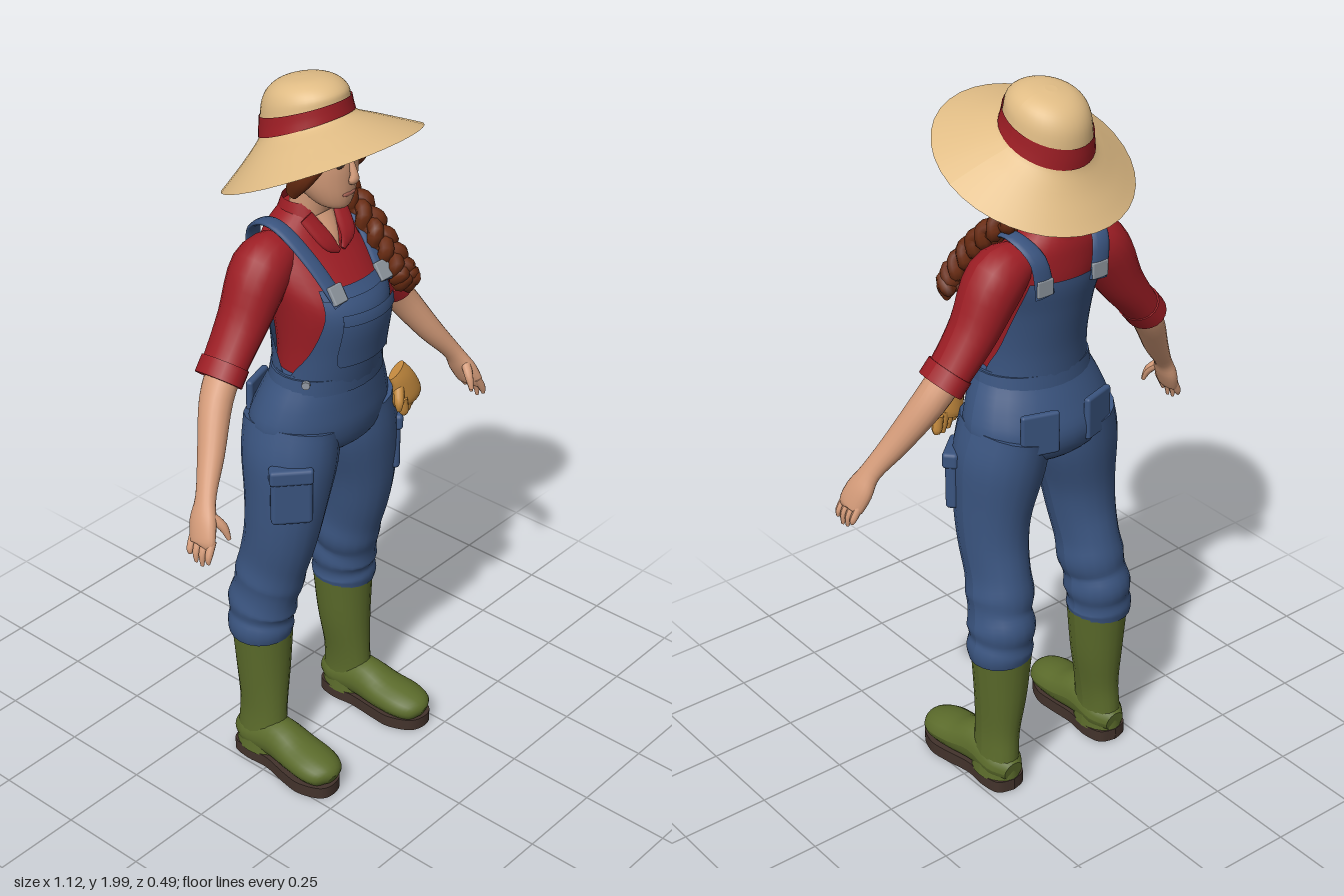
import * as THREE from 'three';
import { RoundedBoxGeometry } from 'three/addons/geometries/RoundedBoxGeometry.js';

const mat = (name, color) => {
  const m = new THREE.MeshStandardMaterial({ color, side: THREE.DoubleSide });
  m.name = name;
  return m;
};

export function createModel() {
  const model = new THREE.Group();
  model.name = 'farmer';
  const straw = mat('straw', 0xe0bc85), red = mat('red cloth', 0x9c1d24), denim = mat('denim', 0x3a547f);
  const green = mat('rubber green', 0x5b6b2b), soleMat = mat('dark sole', 0x43332c), skin = mat('skin', 0xd59c7a);
  const hair = mat('auburn hair', 0x6a2c12), tan = mat('tan leather', 0xc48a3e), metal = mat('metal', 0x9199a2);
  const lip = mat('lip', 0xb0695a);

  const add = (name, geometry, material, x = 0, y = 0, z = 0) => {
    const m = new THREE.Mesh(geometry, material);
    m.name = name;
    m.position.set(x, y, z);
    model.add(m);
    return m;
  };

  // Smoothly subdivide rows of numbers
  const dense = (rows, n = 4) => {
    const out = [];
    const row = i => rows[Math.max(0, Math.min(rows.length - 1, i))];
    for (let i = 0; i < rows.length - 1; i++) {
      for (let k = 0; k < n; k++) {
        const t = k / n;
        out.push(rows[i].map((b, c) => {
          const a = row(i - 1)[c], d = row(i + 1)[c], e = row(i + 2)[c];
          return b + 0.5 * t * (d - a + t * (2 * a - 5 * b + 4 * d - e + t * (3 * (b - d) + e - a)));
        }));
      }
    }
    out.push(row(rows.length));
    return out;
  };

  // Surface from a grid of points, with optional flat end caps
  const skinGrid = (grid, caps) => {
    const pos = [], index = [], w = grid[0].length;
    grid.forEach(r => r.forEach(p => pos.push(p.x, p.y, p.z)));
    for (let i = 0; i < grid.length - 1; i++) {
      for (let j = 0; j < w - 1; j++) {
        const a = i * w + j;
        index.push(a, a + 1, a + w, a + 1, a + w + 1, a + w);
      }
    }
    if (caps) [grid[0], grid[grid.length - 1]].forEach((r, e) => {
      if (e === 0 && caps === 'end') return;
      const base = pos.length / 3, c = new THREE.Vector3();
      r.slice(1).forEach(p => c.addScaledVector(p, 1 / (w - 1)));
      [c, ...r].forEach(p => pos.push(p.x, p.y, p.z));
      for (let j = 1; j < w; j++) index.push(base, base + j + e, base + j + 1 - e);
      if (e === 0) for (let q = index.length - 3 * (w - 1); q < index.length; q += 3) {
        const b = index[q + 1]; index[q + 1] = index[q + 2]; index[q + 2] = b;
      }
      else for (let q = index.length - 3 * (w - 1); q < index.length; q += 3) {
        const b = index[q + 1]; index[q + 1] = index[q + 2]; index[q + 2] = b;
      }
    });
    const g = new THREE.BufferGeometry();
    g.setAttribute('position', new THREE.Float32BufferAttribute(pos, 3));
    g.setIndex(index);
    g.computeVertexNormals();
    return g;
  };

  // Elliptical sections [x, y, z, radiusX, radiusDepth, slope]; slope fixes the tilt of a section
  const loft = (name, material, rows, { sides = 20, caps = true, n = 4 } = {}) => {
    const d = dense(rows, n), at = i => new THREE.Vector3(...d[Math.max(0, Math.min(d.length - 1, i))].slice(0, 3));
    const grid = d.map((r, i) => {
      const T = r.length > 5 ? new THREE.Vector3(0, 1, -r[5]) : at(i + 1).sub(at(i - 1));
      T.normalize();
      const X = new THREE.Vector3(1, 0, 0).addScaledVector(T, -T.x).normalize();
      const N = new THREE.Vector3().crossVectors(T, X);
      return Array.from({ length: sides + 1 }, (_, j) => {
        const a = (j % sides) / sides * Math.PI * 2;
        return at(i).addScaledVector(X, Math.cos(a) * r[3]).addScaledVector(N, Math.sin(a) * r[4]);
      });
    });
    return add(name, skinGrid(grid, caps), material);
  };
  const pair = (name, material, rows, opt) => [['left', 1], ['right', -1]].forEach(([side, s]) =>
    loft(`${side} ${name}`, material, rows.map(([x, ...r]) => [x * s, ...r]), opt));
  const ball = (name, material, x, y, z, rx, ry, rz) =>
    add(name, new THREE.SphereGeometry(1, 20, 14), material, x, y, z).scale.set(rx, ry, rz);

  // Shirt
  const torso = [[0, 1.18, .012, .145, .11, 0], [0, 1.3, .02, .142, .125, 0], [0, 1.42, .015, .152, .143, 0],
    [0, 1.5, -.02, .162, .125, 0], [0, 1.57, -.05, .15, .093, 0], [0, 1.61, -.06, .115, .075, 0], [0, 1.645, -.06, .065, .058, 0]];
  loft('shirt body', red, torso, { sides: 28 });
  pair('sleeve', red, [[.09, 1.56, -.055, .05, .06], [.165, 1.525, -.055, .078, .08], [.235, 1.41, -.055, .062, .07],
    [.3, 1.325, -.052, .051, .064], [.335, 1.285, -.048, .05, .064]]);
  pair('sleeve cuff', red, [[.307, 1.318, -.051, .054, .069], [.337, 1.282, -.048, .054, .069]]);
  loft('open neckline', skin, [[0, 1.55, .052, .004, .004], [0, 1.59, .037, .018, .008], [0, 1.64, .005, .035, .015]], { sides: 10 });
  pair('collar flap', red, [[.008, 1.555, .062, .007, .005], [.04, 1.59, .048, .026, .006], [.06, 1.645, 0, .026, .009]], { sides: 10 });
  add('collar band', new THREE.CylinderGeometry(.058, .078, .06, 20, 1, true, .6, Math.PI * 2 - 1.2), red, 0, 1.64, -.058);

  // Panels that hug the torso: edge rows are [height, half angle]
  const body = dense(torso, 8);
  const panel = (name, edge, centre, off) => {
    const grid = dense(edge, 5).map(([y, half]) => {
      const i = Math.max(1, body.findIndex(r => r[1] >= y)), a = body[i - 1], b = body[i];
      const r = a.map((v, c) => v + (b[c] - v) * (y - a[1]) / (b[1] - a[1]));
      return Array.from({ length: 21 }, (_, j) => {
        const p = centre + half * (j / 10 - 1);
        return new THREE.Vector3(Math.sin(p) * (r[3] + off), y, r[2] + Math.cos(p) * (r[4] + off));
      });
    });
    add(name, skinGrid(grid), denim);
  };
  panel('front bib', [[1.19, 1.58], [1.25, 1.45], [1.32, 1.12], [1.42, .85], [1.49, .72]], 0, .014);
  panel('bib pocket', [[1.28, .58], [1.31, .66], [1.43, .56]], 0, .022);
  panel('pocket hem', [[1.405, .58], [1.435, .57]], 0, .026);
  panel('bib hem', [[1.468, .74], [1.494, .72]], 0, .019);
  panel('back bib', [[1.19, 1.58], [1.25, 1.45], [1.32, 1.15], [1.42, .9], [1.52, .72]], Math.PI, .014);
  pair('shoulder strap', denim, [[.087, 1.46, .138, .024, .007], [.105, 1.55, .066, .024, .007], [.12, 1.62, -.015, .024, .008],
    [.12, 1.632, -.08, .024, .008], [.1, 1.585, -.142, .026, .007], [.085, 1.49, -.15, .03, .007]], { sides: 12 });

  // Overalls seat and legs
  loft('overalls seat', denim, [[0, .98, -.02, .1, .08, 0], [0, 1.02, -.015, .19, .135, 0], [0, 1.08, -.012, .216, .152, 0],
    [0, 1.15, 0, .198, .14, 0], [0, 1.22, .014, .165, .124, 0], [0, 1.245, .016, .158, .122, 0]], { sides: 28 });
  loft('waistband', denim, [[0, 1.195, .012, .172, .13, 0], [0, 1.24, .016, .164, .13, 0]], { sides: 28 });
  pair('trouser leg', denim, [[.105, 1.08, -.012, .108, .14], [.122, .98, -.006, .118, .135], [.142, .85, -.004, .1, .117],
    [.15, .75, -.014, .09, .106], [.154, .66, -.036, .083, .1], [.157, .6, -.05, .089, .1], [.164, .555, -.058, .082, .094],
    [.167, .51, -.068, .09, .1], [.17, .475, -.07, .084, .09], [.173, .445, -.07, .09, .093], [.172, .42, -.07, .086, .088]]);

  // Boots
  pair('boot shaft', green, [[.168, .435, -.07, .083, .087], [.17, .3, -.066, .07, .08], [.177, .18, -.06, .055, .074],
    [.182, .1, -.06, .053, .077], [.184, .03, -.06, .06, .08]]);
  pair('boot foot', green, [[.183, .06, -.138, .03, .03], [.183, .068, -.09, .056, .05], [.184, .08, 0, .056, .064],
    [.187, .068, .08, .065, .051], [.192, .062, .15, .067, .044], [.196, .056, .195, .05, .034], [.198, .05, .212, .018, .016]]);

  for (const [side, s] of [['left', 1], ['right', -1]]) {
    const name = part => `${side} ${part}`;
    // Sole
    const outline = [[.183, -.142], [.228, -.125], [.24, -.07], [.237, 0], [.254, .08], [.26, .14], [.238, .2], [.2, .216],
      [.155, .2], [.126, .14], [.126, .08], [.132, 0], [.126, -.07], [.14, -.125]];
    const shape = new THREE.Shape();
    shape.moveTo(s * outline[0][0], outline[0][1]);
    shape.splineThru([...outline.slice(1), outline[0]].map(([x, z]) => new THREE.Vector2(s * x, z)));
    const sole = new THREE.ExtrudeGeometry(shape, { depth: .035, bevelEnabled: false, curveSegments: 32 });
    add(name('boot sole'), sole.rotateX(Math.PI / 2), soleMat, 0, .035, 0);
    // Pockets, buckles and buttons
    add(name('thigh pocket'), new RoundedBoxGeometry(.11, .16, .035, 2, .012), denim, s * .205, .925, .075).rotation.y = s * .72;
    add(name('thigh pocket flap'), new RoundedBoxGeometry(.116, .045, .044, 2, .01), denim, s * .207, .99, .076).rotation.y = s * .72;
    add(name('back pocket'), new RoundedBoxGeometry(.105, .12, .02, 2, .008), denim, s * .095, 1.1, -.143).rotation.y = -s * .3;
    add(name('front buckle'), new RoundedBoxGeometry(.046, .05, .014, 1, .004), metal, s * .088, 1.485, .127).rotation.x = -.55;
    add(name('back buckle'), new RoundedBoxGeometry(.05, .045, .014, 1, .004), metal, s * .088, 1.515, -.152);
    add(name('hip button'), new THREE.CylinderGeometry(.011, .011, .01, 12).rotateZ(Math.PI / 2), metal, s * .153, 1.235, .08).rotation.y = -s * .6;
    // Face details
    ball(name('eye'), soleMat, s * .036, 1.803, .091, .014, .007, .004);
    ball(name('ear'), skin, s * .088, 1.775, -.02, .01, .028, .018);
  }

  // Arms and hands
  pair('forearm', skin, [[.3, 1.32, -.05, .042, .048], [.36, 1.24, -.035, .041, .046], [.43, 1.13, .01, .033, .037],
    [.488, 1.05, .045, .023, .03], [.515, 1, .06, .024, .042], [.535, .955, .075, .02, .042], [.54, .945, .076, .012, .034]]);
  for (let i = 0; i < 4; i++) {
    const z = .042 + i * .021, tip = [.915, .9, .897, .91][i];
    pair(`finger ${i + 1}`, skin, [[.53, .965, z, .011, .011], [.549, .93, z + .004, .01, .01], [.553, tip, z + .006, .004, .005]], { sides: 10 });
  }
  pair('thumb', skin, [[.51, 1.02, .075, .013, .014], [.492, .99, .105, .012, .012], [.486, .955, .12, .005, .006]], { sides: 10 });

  // Head
  loft('neck', skin, [[0, 1.57, -.055, .056, .056], [0, 1.64, -.045, .05, .052], [0, 1.73, -.025, .05, .055]]);
  loft('head', skin, [[0, 1.672, .045, .018, .025, 0], [0, 1.682, .035, .042, .047, 0], [0, 1.71, .018, .063, .072, 0],
    [0, 1.75, 0, .08, .094, 0], [0, 1.8, -.008, .086, .104, 0], [0, 1.85, -.012, .083, .1, 0], [0, 1.885, -.02, .06, .075, 0]], { sides: 24 });
  loft('nose', skin, [[0, 1.808, .093, .007, .006], [0, 1.775, .103, .011, .01], [0, 1.758, .103, .016, .011], [0, 1.748, .094, .008, .006]], { sides: 12 });
  ball('mouth', lip, 0, 1.718, .088, .024, .007, .005);
  pair('eyebrow', hair, [[.016, 1.823, .096, .004, .004], [.038, 1.83, .09, .005, .005], [.06, 1.822, .074, .003, .003]], { sides: 8 });

  // Hair, parted above the brow, with a braid over one shoulder
  ball('back hair', hair, 0, 1.805, -.045, .108, .1, .102);
  ball('nape hair', hair, .02, 1.74, -.085, .075, .06, .06);
  pair('side lock', hair, [[-.01, 1.875, .075, .02, .02], [.05, 1.862, .078, .024, .026], [.085, 1.82, .05, .022, .034],
    [.1, 1.77, .015, .02, .034], [.092, 1.715, -.02, .01, .018]], { sides: 14 });
  const path = new THREE.CatmullRomCurve3([[.04, 1.76, -.11], [.095, 1.7, -.08], [.125, 1.63, 0], [.125, 1.55, .085],
    [.145, 1.47, .135], [.162, 1.43, .145]].map(p => new THREE.Vector3(...p)));
  for (let k = 0; k < 3; k++) {
    const points = Array.from({ length: 41 }, (_, i) => {
      const a = i / 40 * Math.PI * 7 + k * Math.PI * 2 / 3;
      return path.getPoint(i / 40).add(new THREE.Vector3(.02 * Math.sin(a), .007 * Math.sin(2 * a), .014 * Math.sin(2 * a)));
    });
    add(`braid strand ${k + 1}`, new THREE.TubeGeometry(new THREE.CatmullRomCurve3(points), 80, .021, 8), hair);
  }
  loft('braid tip', hair, [[.158, 1.455, .142, .03, .026], [.166, 1.425, .146, .03, .024], [.172, 1.395, .142, .006, .006]], { sides: 12 });

  // Straw hat, tipped back
  loft('straw hat', straw, [[0, 1.785, 0, .26, .268, .47], [0, 1.803, -.01, .228, .235, .47], [0, 1.835, -.03, .17, .175, .46],
    [0, 1.866, -.05, .115, .128, .43], [0, 1.905, -.055, .107, .124, .38], [0, 1.94, -.056, .1, .116, .28],
    [0, 1.966, -.06, .084, .094, .24], [0, 1.982, -.064, .055, .06, .22], [0, 1.988, -.066, .015, .016, .2]], { sides: 36, caps: 'end' });
  loft('hat band', red, [[0, 1.866, -.05, .119, .132, .43], [0, 1.888, -.053, .113, .13, .41], [0, 1.912, -.055, .109, .127, .37]],
    { sides: 36, caps: false });

  // Work glove tucked into the hip
  loft('glove palm', tan, [[.15, 1.165, .125, .034, .017], [.165, 1.135, .135, .04, .019], [.183, 1.085, .135, .05, .026], [.188, 1.065, .132, .046, .022]]);
  for (let i = 0; i < 4; i++) {
    const x = .15 + i * .026, z = .148 - i * .012;
    loft(`glove finger ${i + 1}`, tan, [[x, 1.09, z, .014, .014], [x + .006, 1.05, z, .014, .014],
      [x + .008, 1.025 + .008 * Math.abs(i - 1.5), z - .004, .006, .007]], { sides: 10 });
  }
  loft('glove thumb', tan, [[.145, 1.12, .14, .014, .014], [.127, 1.09, .156, .013, .013], [.125, 1.065, .158, .006, .006]], { sides: 10 });
  return model;
}
